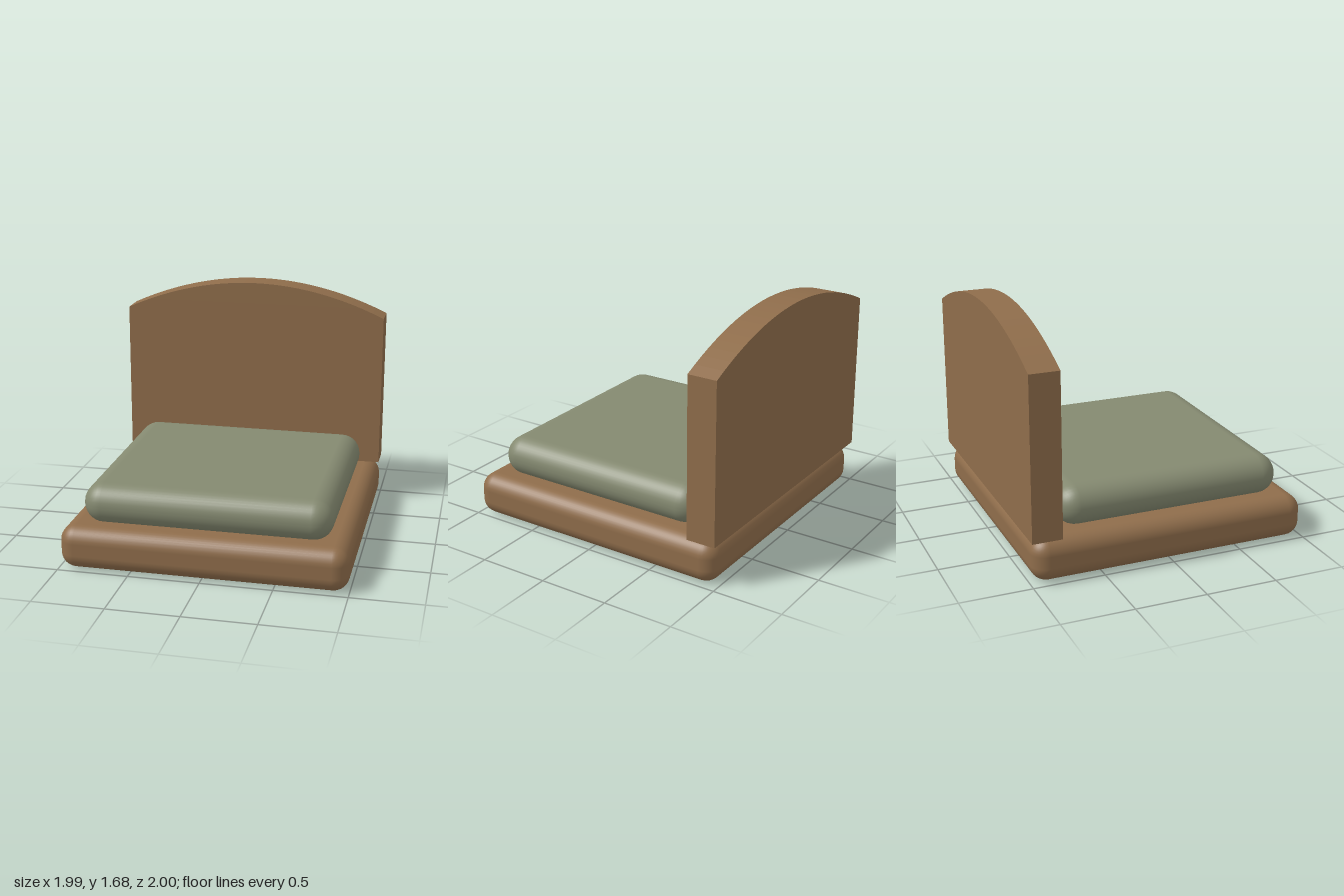
import * as THREE from 'three';
import { RoundedBoxGeometry } from 'three/addons/geometries/RoundedBoxGeometry.js';

export function createModel() {
  const model = new THREE.Group();
  model.name = 'cushionedSeat';

  const wood = new THREE.MeshStandardMaterial({ color: 0x8f6d4b });
  wood.name = 'brown wood';
  const fabric = new THREE.MeshStandardMaterial({ color: 0x848970 });
  fabric.name = 'sage fabric';

  function add(name, geometry, material, x, y, z) {
    const mesh = new THREE.Mesh(geometry, material);
    mesh.name = name;
    mesh.position.set(x, y, z);
    model.add(mesh);
  }

  // Rounded base slab
  add('base', new RoundedBoxGeometry(1.99, 0.305, 1.985, 4, 0.11), wood, 0, 0.1525, 0.0075);

  // Soft seat cushion, sunk slightly into the base
  add('seatCushion', new RoundedBoxGeometry(1.73, 0.285, 1.63, 4, 0.14), fabric, 0, 0.4275, 0.065);

  // Upright back panel with an arched top
  const panel = new THREE.Shape();
  panel.moveTo(-0.995, 0);
  panel.lineTo(0.995, 0);
  panel.lineTo(0.995, 1.14);
  panel.quadraticCurveTo(0, 1.6, -0.995, 1.14);
  panel.closePath();
  const backGeometry = new THREE.ExtrudeGeometry(panel, {
    depth: 0.21, bevelEnabled: false, curveSegments: 24,
  });
  add('backrest', backGeometry, wood, 0, 0.31, -1);

  return model;
}
